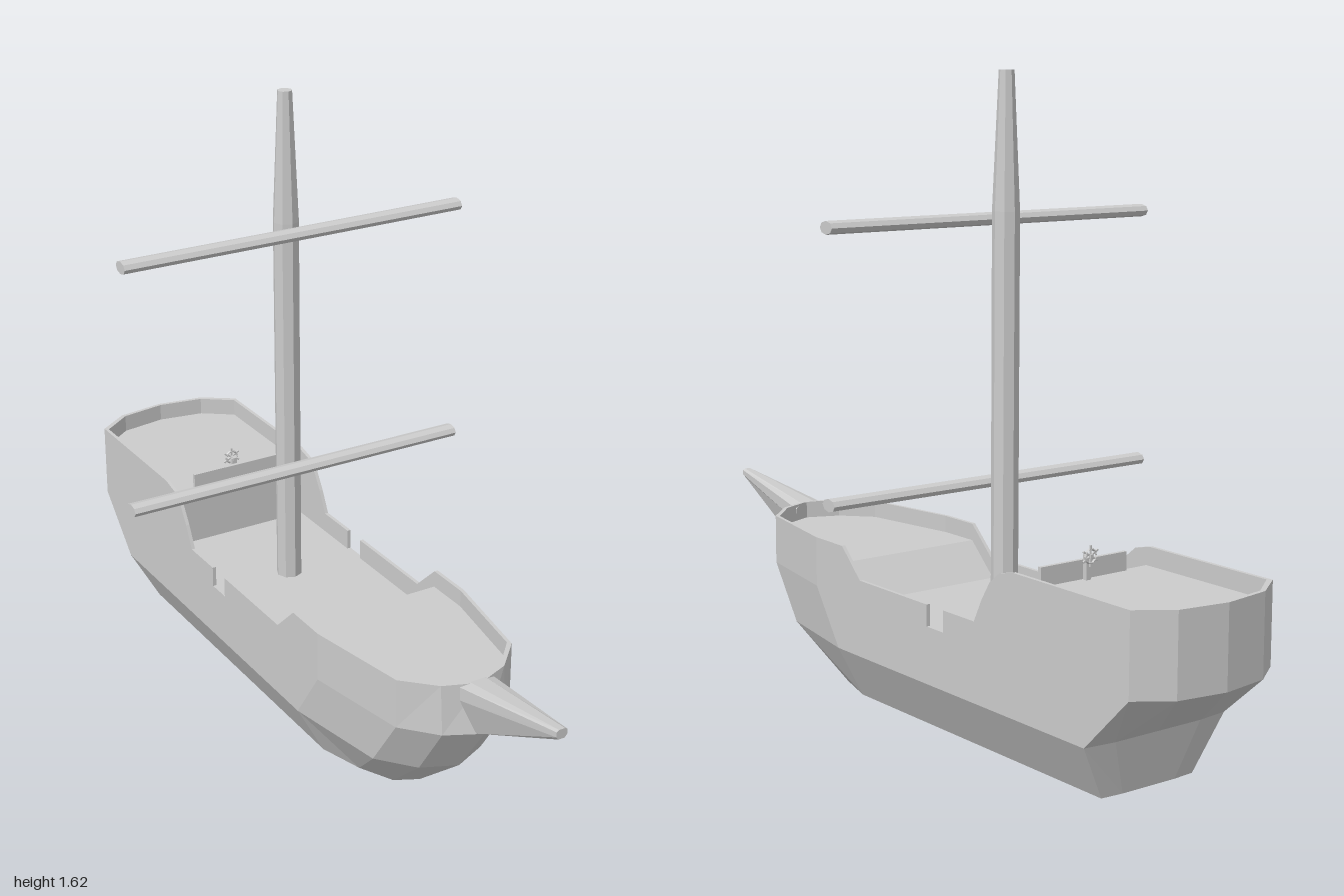
import * as THREE from 'three';

const material = new THREE.MeshStandardMaterial({ color: 0xcccccc, flatShading: true });

// Skin a row of cross-sections (arrays of [x, y, z]) with flat quads
function loft(sections, closePath, closeRing) {
  const pos = [];
  const n = sections.length, m = sections[0].length;
  for (let i = 0; i < (closePath ? n : n - 1); i++) {
    for (let j = 0; j < (closeRing ? m : m - 1); j++) {
      const s = sections[i], t = sections[(i + 1) % n], k = (j + 1) % m;
      pos.push(...s[j], ...t[j], ...t[k], ...s[j], ...t[k], ...s[k]);
    }
  }
  const g = new THREE.BufferGeometry();
  g.setAttribute('position', new THREE.Float32BufferAttribute(pos, 3));
  g.computeVertexNormals();
  return g;
}

// Complete a half outline that runs from bow centre to stern centre on +x
const mirrorLoop = (half) =>
  [...half, ...half.slice(1, -1).reverse().map(([x, ...rest]) => [-x, ...rest])];

export function createModel() {
  const ship = new THREE.Group();
  const add = (name, geometry, x = 0, y = 0, z = 0, parent = ship) => {
    const mesh = new THREE.Mesh(geometry, material);
    mesh.name = name;
    mesh.position.set(x, y, z);
    parent.add(mesh);
    return mesh;
  };

  // Hull: horizontal outlines from deck level down to the flat bottom
  const levels = [
    [0.285, [[0, 0.71], [0.09, 0.665], [0.165, 0.58], [0.215, 0.3], [0.215, -0.92], [0.13, -0.98], [0, -1]]],
    [0.14, [[0, 0.61], [0.09, 0.57], [0.165, 0.48], [0.215, 0.2], [0.215, -0.775], [0.13, -0.785], [0, -0.785]]],
    [0, [[0, 0.44], [0.06, 0.41], [0.105, 0.32], [0.14, 0.2], [0.14, -0.75], [0.08, -0.755], [0, -0.755]]],
  ];
  const rings = levels.map(([y, half]) => mirrorLoop(half).map(([x, z]) => [x, y, z]));
  rings.push(rings[2].map(([, y, z]) => [0, y, z])); // closes the bottom
  add('hull', loft(rings, false, true));

  // Bulwark: half-width, z, rail height, forward lean of the foot
  const rail = mirrorLoop([
    [0, 0.69, 0.415, 0.02], [0.09, 0.655, 0.415, 0.01], [0.165, 0.58, 0.415, 0],
    [0.215, 0.3, 0.415, 0], [0.215, 0.18, 0.415, 0], [0.215, 0.1, 0.34, 0],
    [0.215, -0.187, 0.34, 0], [0.215, -0.187, 0.285, 0], // open slot beside the mast
    [0.215, -0.253, 0.285, 0], [0.215, -0.253, 0.34, 0],
    [0.215, -0.375, 0.34, 0], [0.215, -0.405, 0.4, 0], [0.215, -0.435, 0.447, 0],
    [0.215, -0.47, 0.475, 0], [0.215, -0.52, 0.487, 0], [0.215, -0.92, 0.487, 0],
    [0.13, -0.98, 0.487, 0], [0, -1, 0.487, 0],
  ]);
  add('bulwark', loft(rail.map(([x, z, top, lean]) => {
    const xi = x * 0.955;
    const zi = z > 0.56 ? z - 0.01 : z < -0.9 ? z + 0.01 : z;
    return [[x, 0.285, z + lean], [x, top, z], [xi, top, zi], [xi, 0.285, zi]];
  }), true, false));

  // Foredeck, ramp, waist, bulkhead and quarterdeck in one strip
  const deck = [
    [0, 0.37, 0.682], [0.087, 0.37, 0.647], [0.158, 0.37, 0.572], [0.206, 0.37, 0.3],
    [0.206, 0.37, 0.18], [0.206, 0.285, 0.09], [0.206, 0.285, -0.51],
    [0.206, 0.44, -0.51], [0.206, 0.44, -0.912], [0.125, 0.44, -0.972], [0, 0.44, -0.992],
  ];
  add('deck', loft(deck.map(([x, y, z]) => [[x, y, z], [-x, y, z]]), false, false));

  // Bowsprit: faceted spike tapering forward and up
  const base = [[0.022, 0.415, 0.675], [0.05, 0.405, 0.655], [0.05, 0.37, 0.66], [0.018, 0.287, 0.702]];
  const tip = [[0.008, 0.46, 1], [0.015, 0.456, 1], [0.015, 0.443, 1], [0.008, 0.435, 1]];
  const around = (pts) => [...pts, ...pts.slice().reverse().map(([x, y, z]) => [-x, y, z])];
  const tipRing = around(tip);
  add('bowsprit', loft([around(base), tipRing, tipRing.map(() => [0, 0.447, 1])], false, true));

  // Mast: straight lower part and tapered top
  add('lowerMast', new THREE.CylinderGeometry(0.034, 0.034, 1, 8), 0, 0.785, -0.219);
  add('upperMast', new THREE.CylinderGeometry(0.019, 0.034, 0.335, 8), 0, 1.4525, -0.219);

  // Yards: flattened spars in front of the mast
  for (const [name, y] of [['lowerYard', 0.617], ['upperYard', 1.264]]) {
    const g = new THREE.CylinderGeometry(1, 1, 0.966, 8);
    g.rotateZ(Math.PI / 2);
    g.scale(1, 0.016, 0.025);
    g.computeVertexNormals();
    add(name, g, 0, y, -0.168);
  }

  // Board at the front of the quarterdeck
  add('quarterdeckBoard', new THREE.BoxGeometry(0.264, 0.047, 0.01), 0, 0.4635, -0.516);

  // Steering wheel on a small post
  const helm = new THREE.Group();
  helm.name = 'helm';
  ship.add(helm);
  add('helmPost', new THREE.BoxGeometry(0.014, 0.06, 0.012), 0, 0.47, -0.53, helm);
  add('helmAxle', new THREE.BoxGeometry(0.008, 0.008, 0.028), 0, 0.499, -0.535, helm);
  add('wheelRim', new THREE.TorusGeometry(0.017, 0.003, 4, 10), 0, 0.499, -0.542, helm);
  for (let i = 0; i < 3; i++) {
    const spoke = add('wheelSpoke', new THREE.BoxGeometry(0.004, 0.052, 0.004), 0, 0.499, -0.542, helm);
    spoke.rotation.z = (i * Math.PI) / 3;
  }
  return ship;
}
